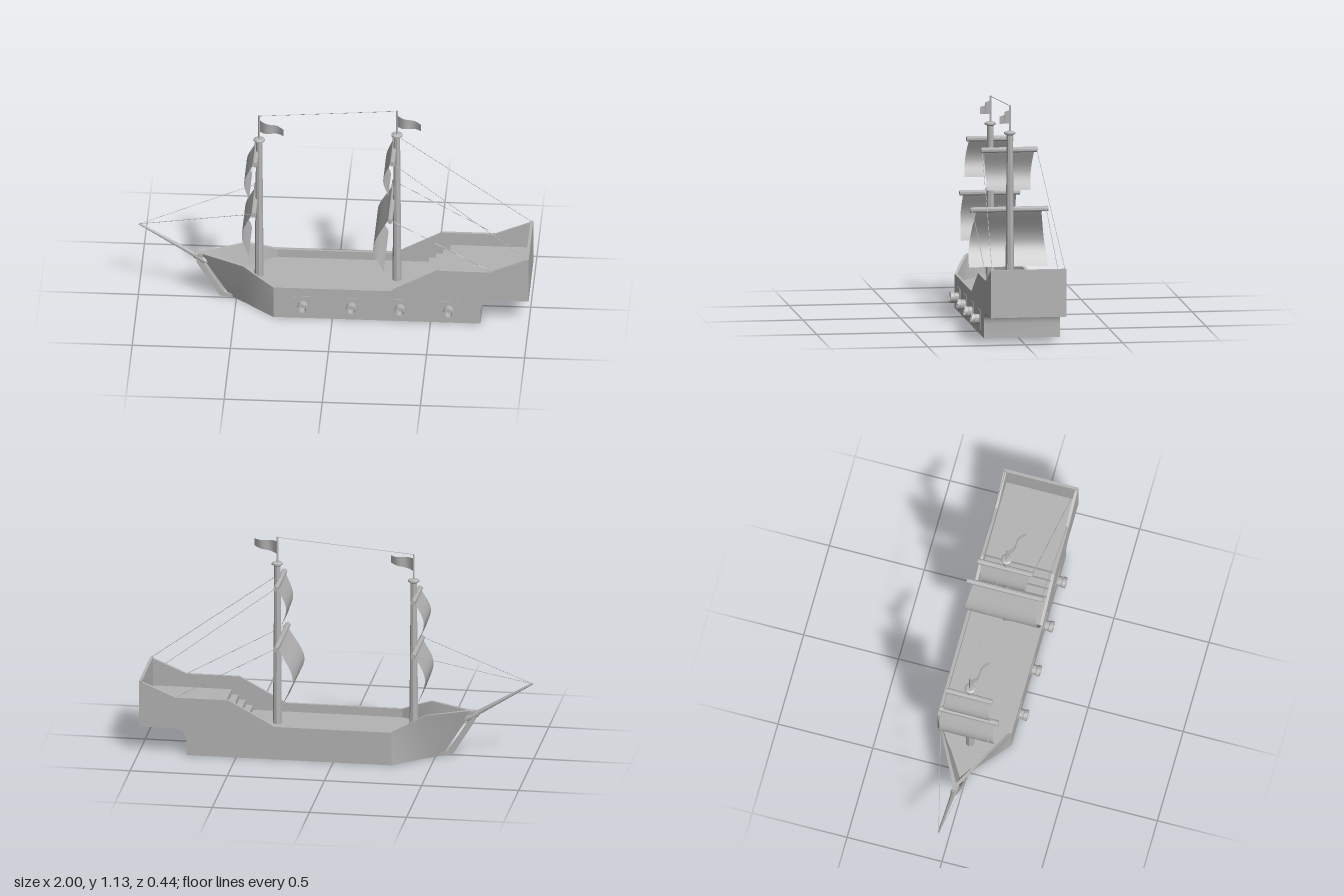
import * as THREE from 'three';
import { toCreasedNormals } from 'three/addons/utils/BufferGeometryUtils.js';

const grey = new THREE.MeshStandardMaterial({ color: 0xb4b4b4, side: THREE.DoubleSide });
grey.name = 'grey';
const V = (x, y, z) => new THREE.Vector3(x, y, z);
const HALF = 0.195, WALL = 0.015, DECK = 0.13;

export function createModel() {
  const ship = new THREE.Group();
  ship.name = 'sailingShip';
  ship.position.z = -0.018;

  const add = (name, geo, x = 0, y = 0, z = 0, parent = ship) => {
    const m = new THREE.Mesh(geo, grey);
    m.name = name;
    m.position.set(x, y, z);
    parent.add(m);
    return m;
  };
  const box = (name, x0, x1, y0, y1, z0, z1) =>
    add(name, new THREE.BoxGeometry(x1 - x0, y1 - y0, z1 - z0), (x0 + x1) / 2, (y0 + y1) / 2, (z0 + z1) / 2);
  // tapered round bar between two points
  const bar = (name, a, b, r0, r1 = r0, sides = 10) => {
    const d = b.clone().sub(a);
    const m = add(name, toCreasedNormals(new THREE.CylinderGeometry(r1, r0, d.length(), sides), 0.7));
    m.position.copy(a).addScaledVector(d, 0.5);
    m.quaternion.setFromUnitVectors(V(0, 1, 0), d.normalize());
    return m;
  };
  // surface from a function of u, v
  const grid = (f, nu, nv) => {
    const g = new THREE.PlaneGeometry(1, 1, nu, nv);
    const p = g.attributes.position;
    for (let i = 0; i < p.count; i++) {
      const q = f(p.getX(i) + 0.5, 0.5 - p.getY(i));
      p.setXYZ(i, q.x, q.y, q.z);
    }
    g.computeVertexNormals();
    return g;
  };

  // hull side walls
  const side = new THREE.Shape();
  side.moveTo(-0.3, 0).lineTo(0.755, 0).lineTo(0.755, 0.075);
  side.quadraticCurveTo(0.758, 0.138, 0.83, 0.14);
  side.lineTo(1, 0.14).lineTo(1, 0.385).lineTo(0.81, 0.305).lineTo(0.54, 0.305).lineTo(0.3, 0.175).lineTo(-0.3, 0.175);
  const sideGeo = new THREE.ExtrudeGeometry(side, { depth: WALL, bevelEnabled: false });
  add('leftHullSide', sideGeo, 0, 0, HALF - WALL);
  add('rightHullSide', sideGeo, 0, 0, -HALF);

  // stern wall and curved counter below it
  box('sternWall', 1 - WALL, 1, 0.14, 0.385, -HALF, HALF);
  const counter = new THREE.Shape();
  counter.moveTo(1, 0.14).lineTo(0.83, 0.14).quadraticCurveTo(0.758, 0.138, 0.755, 0.075).lineTo(0.755, 0);
  counter.lineTo(0.745, 0).lineTo(0.745, 0.15).lineTo(1, 0.15);
  const counterGeo = new THREE.ExtrudeGeometry(counter, { depth: 2 * HALF - 0.002, bevelEnabled: false, curveSegments: 12 });
  add('sternCounter', toCreasedNormals(counterGeo, 0.5), 0, 0, -HALF + 0.001);

  // bow walls: columns of [bottom x, bottom half width, top x, top y, top half width]
  const cols = [
    [-0.3, HALF, -0.3, 0.175, HALF],
    [-0.38, 0.128, -0.38, 0.2125, 0.162],
    [-0.45, 0.066, -0.46, 0.25, 0.122],
    [-0.53, 0.004, -0.69, 0.25, 0.004],
  ];
  const bowPositions = [], bowIndex = [];
  for (const [bx, bw, tx, ty, tw] of cols) {
    for (const [t, inner] of [[0, 0], [0.5, 0], [1, 0], [1, 1], [0.5, 1], [0, 1]]) {
      const x = bx + (tx - bx) * t + inner * (bw < 0.01 ? 0.03 : 0);
      const w = bw + (tw - bw) * t - inner * (bw < 0.01 ? 0.004 : WALL);
      bowPositions.push(x, ty * t, w);
    }
  }
  for (let c = 0; c < cols.length - 1; c++) {
    for (let k = 0; k < 6; k++) {
      const a = c * 6 + k, b = c * 6 + (k + 1) % 6;
      bowIndex.push(a, b, a + 6, b, b + 6, a + 6);
    }
  }
  let bowGeo = new THREE.BufferGeometry();
  bowGeo.setAttribute('position', new THREE.Float32BufferAttribute(bowPositions, 3));
  bowGeo.setIndex(bowIndex);
  bowGeo = toCreasedNormals(bowGeo, 0.5);
  add('leftBow', bowGeo);
  add('rightBow', bowGeo).scale.z = -1;

  // stem post and bowsprit
  const stem = new THREE.Shape();
  stem.moveTo(-0.5, 0.012).lineTo(-0.52, 0).lineTo(-0.585, 0.008).lineTo(-0.685, 0.17).lineTo(-0.705, 0.205);
  stem.lineTo(-0.7, 0.25).lineTo(-0.67, 0.25).lineTo(-0.672, 0.2).lineTo(-0.565, 0.03);
  add('stemPost', new THREE.ExtrudeGeometry(stem, { depth: 0.03, bevelEnabled: false }), 0, 0, -0.015);
  bar('bowsprit', V(-0.65, 0.2, 0), V(-0.997, 0.411, 0), 0.014, 0.005);
  bar('bowspritCollar', V(-0.66, 0.206, 0), V(-0.715, 0.239, 0), 0.019, 0.017);

  // decks and full-width stairs
  const deck = new THREE.Shape();
  const inside = HALF - 0.005;
  deck.moveTo(0.75, inside).lineTo(-0.3, inside).lineTo(-0.455, 0.09).lineTo(-0.605, 0);
  deck.lineTo(-0.455, -0.09).lineTo(-0.3, -inside).lineTo(0.75, -inside);
  const deckGeo = new THREE.ExtrudeGeometry(deck, { depth: 0.008, bevelEnabled: false });
  deckGeo.rotateX(-Math.PI / 2);
  add('mainDeck', deckGeo, 0, DECK - 0.008);
  [0.47, 0.507, 0.543].forEach((x, i) =>
    box('stair', x, 0.585, DECK + i * 0.026, DECK + (i + 1) * 0.026, -inside, inside));
  box('sternDeck', 0.58, 0.99, 0.2, 0.235, -inside, inside);

  // gun ports and cannons on one side
  const gun = new THREE.LatheGeometry([[0.026, 0], [0.026, 0.03], [0.029, 0.032], [0.029, 0.05], [0.019, 0.05], [0.017, 0.01], [0, 0.01]]
    .map(([r, y]) => new THREE.Vector2(r, y)), 16);
  const gunGeo = toCreasedNormals(gun.rotateX(Math.PI / 2), 0.6);
  for (const x of [-0.15, 0.098, 0.346, 0.594]) {
    box('gunPort', x - 0.05, x + 0.05, 0.027, 0.127, HALF - WALL - 0.003, HALF + 0.003);
    add('cannon', gunGeo, x, 0.077, HALF - 0.005);
  }

  // a sail hangs from its yard and bellies toward the bow
  const sail = (yard, half, wTop, wBottom, mid, foot) => {
    bar('yard', V(yard[0], yard[1], -half), V(yard[0], yard[1], half), 0.014);
    const curve = new THREE.CatmullRomCurve3([V(yard[0] - 0.006, yard[1], 0), V(mid[0], mid[1], 0), V(foot[0], foot[1], 0)]);
    add('sail', grid((u, v) => {
      const p = curve.getPoint(v);
      const w = wTop + (wBottom - wTop) * Math.sin(v * Math.PI / 2);
      return V(p.x, p.y, (u * 2 - 1) * w);
    }, 6, 14));
  };
  // mast with cap, flagpole and waving pennant
  const mast = (x, top, poleTop) => {
    bar('mast', V(x, DECK, 0), V(x, top, 0), 0.023, 0.016, 8);
    const cap = [[0, -0.01], [0.018, -0.01], [0.029, -0.003], [0.029, 0.004], [0.018, 0.01], [0, 0.01]];
    add('mastCap', toCreasedNormals(new THREE.LatheGeometry(cap.map(([r, y]) => new THREE.Vector2(r, y)), 14), 0.5), x, top);
    bar('flagpole', V(x, top, 0), V(x, poleTop, 0), 0.005, 0.005, 8);
    add('flag', grid((u, v) => V(
      x + 0.128 * u,
      poleTop - 0.025 - 0.012 * u - v * (0.068 - 0.03 * u),
      0.07 * u + 0.012 * Math.sin(u * Math.PI * 2)), 12, 1));
  };
  mast(-0.385, 0.932, 1.075);
  mast(0.317, 0.987, 1.13);
  sail([-0.405, 0.575], 0.155, 0.135, 0.145, [-0.465, 0.45], [-0.43, 0.325]);
  sail([-0.4, 0.853], 0.12, 0.105, 0.125, [-0.455, 0.745], [-0.43, 0.652]);
  sail([0.294, 0.592], 0.2, 0.165, 0.202, [0.207, 0.42], [0.262, 0.292]);
  sail([0.302, 0.899], 0.144, 0.13, 0.112, [0.254, 0.785], [0.28, 0.688]);

  // rigging
  const rope = (a, b) => bar('rope', a, b, 0.0015, 0.0015, 5);
  rope(V(-0.385, 1.073, 0), V(0.317, 1.128, 0));
  for (const s of [-1, 1]) {
    rope(V(-0.995, 0.41, 0), V(-0.405, 0.58, s * 0.15));
    rope(V(0.3, 0.592, s * 0.19), V(0.81, 0.305, s * 0.187));
    rope(V(0.305, 0.9, s * 0.14), V(0.995, 0.383, s * 0.187));
  }
  return ship;
}
